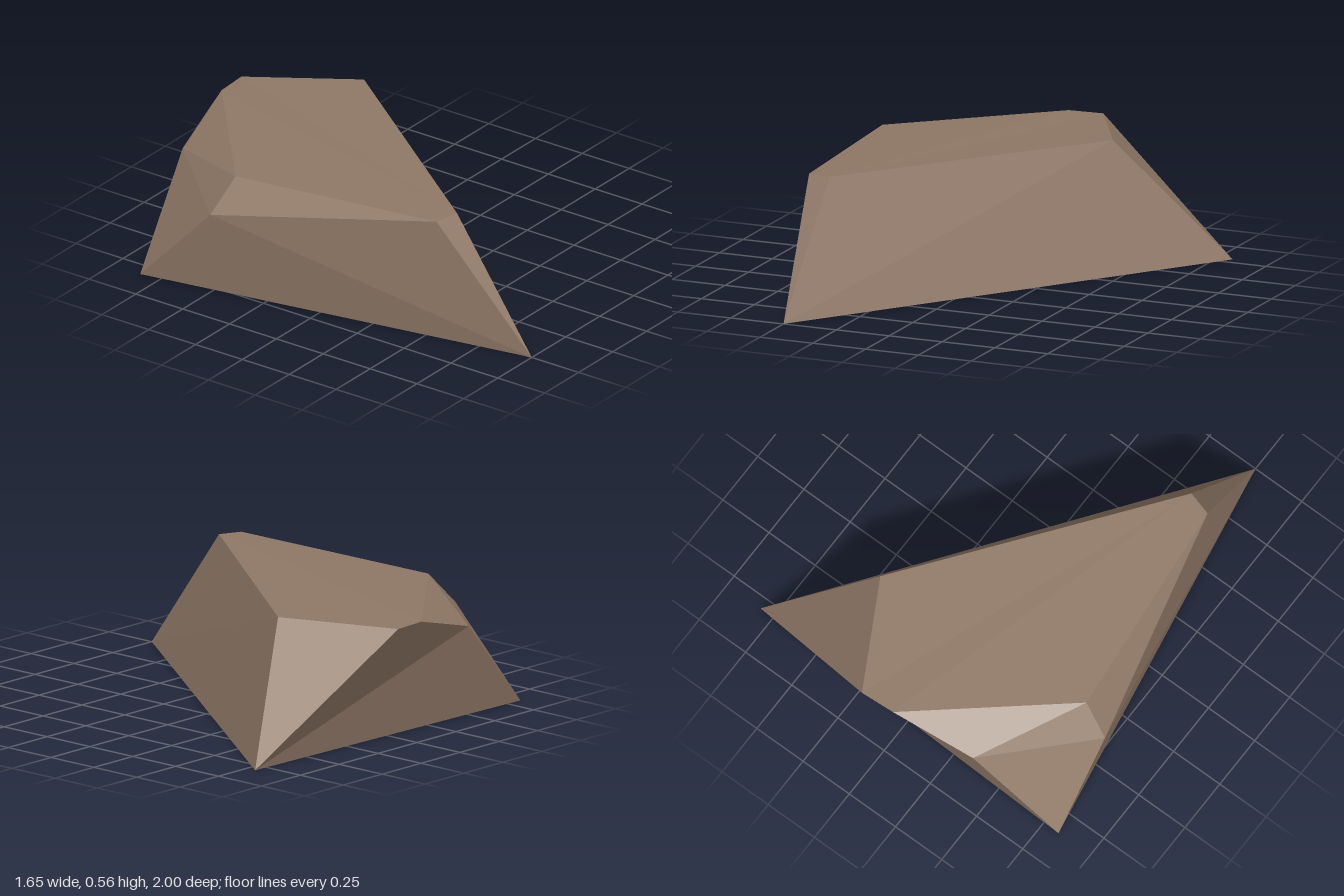
import * as THREE from 'three';

// Corners of the faceted rock: three on the ground, the rest around the top
const corners = {
  groundFront: [-0.50, 0, 1.0],
  groundLeft: [0.82, 0, -0.80],
  groundRight: [-0.83, 0, -0.85],
  topFront: [-0.47, 0.56, 0.58],
  topFrontRight: [-0.58, 0.555, 0.55],
  topLeft: [0.375, 0.55, -0.53],
  topBack: [0.12, 0.53, -1.0],
  topBackRight: [-0.04, 0.53, -0.99],
  topRight: [-0.68, 0.525, -0.45],
  shoulderRight: [-0.81, 0.38, -0.49],
  shoulderBack: [-0.42, 0.424, -0.92],
};

// Each facet lists its corners counterclockwise from outside; the base is open
const facets = {
  top: 'topFront topLeft topBack topBackRight topRight topFrontRight',
  frontWall: 'groundFront groundLeft topLeft topFront',
  frontChamfer: 'groundFront topFront topFrontRight',
  leftWall: 'groundLeft topBack topLeft',
  backWall: 'groundLeft groundRight shoulderBack',
  backUpperWall: 'groundLeft shoulderBack topBackRight topBack',
  backSlope: 'topRight topBackRight shoulderBack',
  cornerSlope: 'shoulderBack groundRight shoulderRight topRight',
  rightWall: 'shoulderRight groundRight groundFront topFrontRight',
  rightChamfer: 'topFrontRight topRight shoulderRight',
};

function facetGeometry(names) {
  const pts = names.split(' ').map((n) => corners[n]);
  const positions = [];
  for (let i = 1; i < pts.length - 1; i++) positions.push(...pts[0], ...pts[i], ...pts[i + 1]);
  const geometry = new THREE.BufferGeometry();
  geometry.setAttribute('position', new THREE.Float32BufferAttribute(positions, 3));
  geometry.computeVertexNormals();
  return geometry;
}

export function createModel() {
  const rock = new THREE.Group();
  rock.name = 'rock';
  const stone = new THREE.MeshStandardMaterial({
    name: 'brownStone', color: 0x8f7866, flatShading: true, side: THREE.DoubleSide,
  });
  for (const [name, names] of Object.entries(facets)) {
    const mesh = new THREE.Mesh(facetGeometry(names), stone);
    mesh.name = name;
    rock.add(mesh);
  }
  return rock;
}
